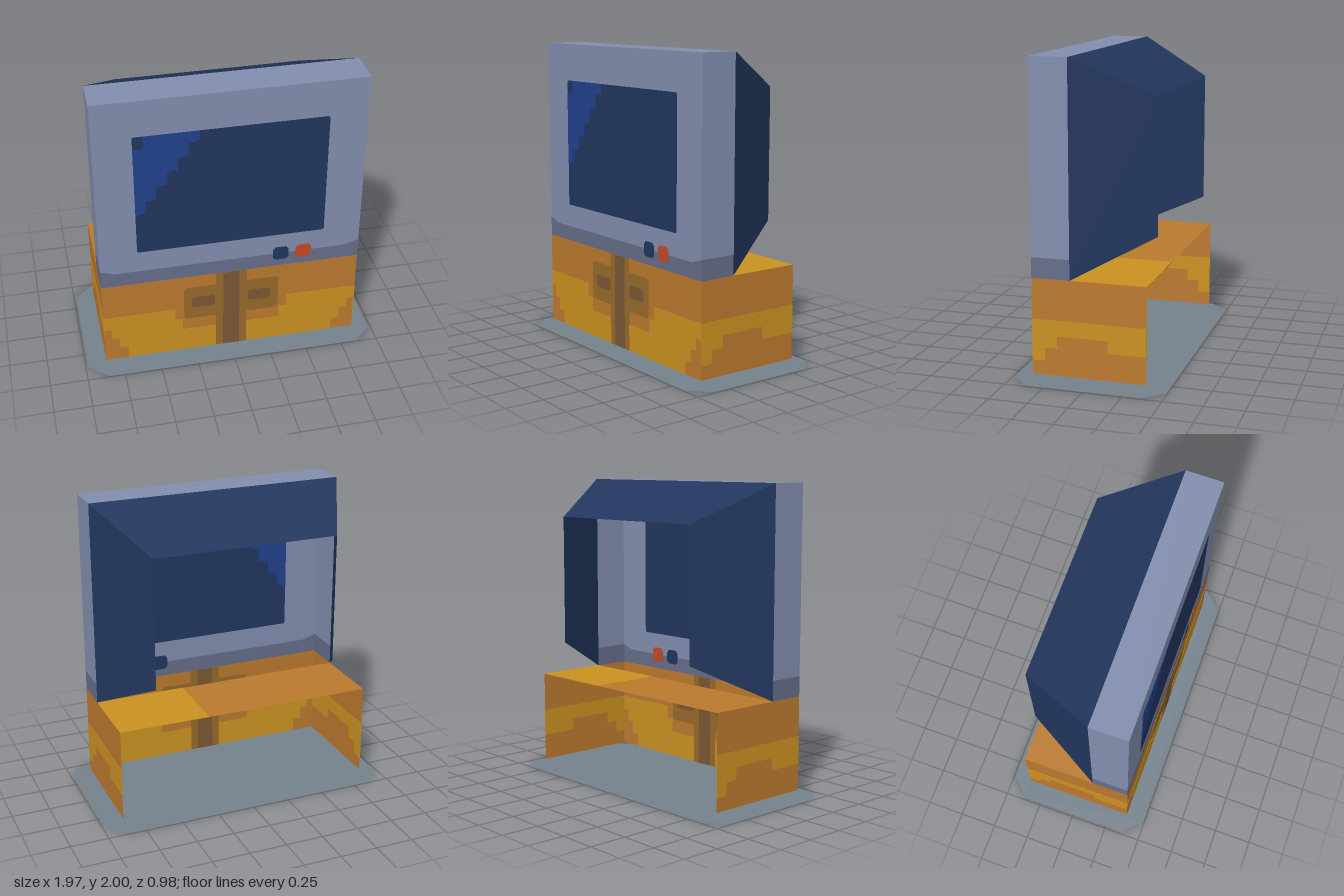
import * as THREE from 'three';

const paint = (name, color) => new THREE.MeshStandardMaterial({ name, color, side: THREE.DoubleSide });
const M = {
  plate: paint('slate', 0x74828d),
  frame: paint('greyBlue', 0x828eae),
  trim: paint('darkGreyBlue', 0x666e89),
  screen: paint('navy', 0x22365e),
  glare: paint('blue', 0x22408c),
  red: paint('red', 0xc44a25),
  brown: paint('brown', 0xbb792e),
  yellow: paint('ochre', 0xca9221),
  wood: paint('darkWood', 0x976a2c),
  post: paint('deepWood', 0x7b5835),
};

const W = 0.86, D = 0.367, MID = 0.12, FLOOR = 0.035, SEAM = 0.65, TOP = 2;
const SIDE = Math.PI / 2;
const rect = (x0, y0, x1, y1) => [[x0, y0], [x1, y0], [x1, y1], [x0, y1]];
const mirror = (pts) => pts.map(([x, y]) => [-x, y]).reverse();
const octagon = (x, y, rx, ry, c) => [
  [x - rx + c, y - ry], [x + rx - c, y - ry], [x + rx, y - ry + c], [x + rx, y + ry - c],
  [x + rx - c, y + ry], [x - rx + c, y + ry], [x - rx, y + ry - c], [x - rx, y - ry + c],
];

// Flat outline in its own plane; a thickness makes a painted plate showing on both faces
function sheet(name, mat, pts, thick = 0) {
  const shape = new THREE.Shape(pts.map((p) => new THREE.Vector2(...p)));
  const geo = thick
    ? new THREE.ExtrudeGeometry(shape, { depth: thick, bevelEnabled: false }).translate(0, 0, -thick / 2)
    : new THREE.ShapeGeometry(shape);
  const mesh = new THREE.Mesh(geo, mat);
  mesh.name = name;
  return mesh;
}

function quad(name, mat, a, b, c, d) {
  const geo = new THREE.BufferGeometry();
  geo.setAttribute('position', new THREE.Float32BufferAttribute([...a, ...b, ...c, ...a, ...c, ...d], 3));
  geo.computeVertexNormals();
  const mesh = new THREE.Mesh(geo, mat);
  mesh.name = name;
  return mesh;
}

// Group of sheets moved and turned into place
function wall(name, pos, rot, ...parts) {
  const g = new THREE.Group();
  g.name = name;
  g.position.set(...pos);
  g.rotation.set(...rot);
  return g.add(...parts);
}

function createCabinet() {
  const g = new THREE.Group();
  g.name = 'cabinet';

  // Front with stepped ochre panels, centre post and handles
  const panel = [
    [0.1, FLOOR], [0.705, FLOOR], [0.705, 0.125], [0.76, 0.125], [0.76, 0.21], [0.81, 0.21], [0.81, 0.29],
    [W, 0.29], [W, 0.39], [0.38, 0.39], [0.38, 0.3], [0.33, 0.3], [0.33, 0.21], [0.1, 0.21],
  ];
  const handle = octagon(0.19, 0.433, 0.078, 0.042, 0.015);
  g.add(wall('cabinetFront', [0, 0, D], [0, 0, 0],
    sheet('frontBoard', M.brown, rect(-W, FLOOR, W, SEAM)),
    sheet('leftPanel', M.yellow, panel, 0.004),
    sheet('rightPanel', M.yellow, mirror(panel), 0.004),
    sheet('handlePlate', M.wood, octagon(0, 0.43, 0.32, 0.13, 0.015), 0.006),
    sheet('postBorder', M.wood, rect(-0.105, FLOOR, 0.105, SEAM), 0.005),
    sheet('centrePost', M.post, rect(-0.055, FLOOR, 0.055, SEAM), 0.008),
    sheet('leftHandle', M.post, handle, 0.008),
    sheet('rightHandle', M.post, mirror(handle), 0.008)));

  // Sides carry the same stepped band
  const band = [
    [-D, 0.39], [-D, 0.125], [-0.285, 0.125], [-0.285, 0.21], [-0.2, 0.21], [-0.2, 0.29],
    [0.12, 0.29], [0.12, 0.21], [D, 0.21], [D, 0.39],
  ];
  for (const s of [1, -1]) {
    g.add(wall(s > 0 ? 'cabinetLeftSide' : 'cabinetRightSide', [s * W, 0, 0], [0, s * SIDE, 0],
      sheet('sideBoard', M.brown, rect(-D, FLOOR, D, SEAM)),
      sheet('sideBand', M.yellow, band, 0.004)));
  }

  // Top covers only the part behind the television frame
  g.add(wall('cabinetTop', [0, SEAM, 0], [-SIDE, 0, 0],
    sheet('topBoard', M.brown, rect(-W, -MID, W, D)),
    sheet('topPatch', M.yellow, rect(0.26, -MID, W, D), 0.004)));
  return g;
}

function createTelevision() {
  const g = new THREE.Group();
  g.name = 'television';

  // Stepped reflection in the screen corner
  const glare = [[-0.55, 1.755], [-0.2, 1.755]];
  for (let i = 0; i < 6; i++) {
    const x = -0.2 - i * 0.07, y = 1.69 - i * 0.098;
    glare.push([x, y], [Math.max(x - 0.07, -0.615), y - 0.015]);
  }
  glare.push([-0.615, 1.185], [-0.615, 1.67], [-0.565, 1.67], [-0.55, 1.685]);

  // Front of frame
  const trimTop = [[W, 0.78], [0.77, 0.75], [-0.77, 0.75], [-W, 0.78]];
  g.add(wall('televisionFront', [0, 0, D], [0, 0, 0],
    sheet('face', M.frame, [[-W, TOP], ...[...trimTop].reverse(), [W, TOP]]),
    sheet('faceTrim', M.trim, [[-W, SEAM], [W, SEAM], ...trimTop]),
    sheet('screen', M.screen, octagon(0, 1.328, 0.615, 0.427, 0.008), 0.004),
    sheet('screenGlare', M.glare, glare, 0.008),
    sheet('darkKnob', M.screen, octagon(0.33, 0.75, 0.052, 0.049, 0.018), 0.008),
    sheet('redKnob', M.red, octagon(0.482, 0.75, 0.052, 0.049, 0.018), 0.008)));

  // Frame sides and top
  for (const s of [1, -1]) {
    const near = s > 0 ? -D : MID, far = s > 0 ? -MID : D;
    g.add(wall(s > 0 ? 'frameLeftSide' : 'frameRightSide', [s * W, 0, 0], [0, s * SIDE, 0],
      sheet('sideFace', M.frame, rect(near, 0.78, far, TOP)),
      sheet('sideTrim', M.trim, rect(near, SEAM, far, 0.78))));
  }
  g.add(wall('frameTop', [0, TOP, 0], [-SIDE, 0, 0], sheet('topFace', M.frame, rect(-W, -D, W, -MID))));

  // Tapered rear casing, open at back and bottom
  const bx = 0.617, by0 = 0.9, by1 = 1.757;
  g.add(
    quad('casingTop', M.screen, [-W, TOP, MID], [W, TOP, MID], [bx, by1, -D], [-bx, by1, -D]),
    quad('casingLeft', M.screen, [W, SEAM, MID], [bx, by0, -D], [bx, by1, -D], [W, TOP, MID]),
    quad('casingRight', M.screen, [-W, SEAM, MID], [-W, TOP, MID], [-bx, by1, -D], [-bx, by0, -D]));
  return g;
}

export function createModel() {
  const model = new THREE.Group();
  model.name = 'televisionOnCabinet';
  model.add(
    wall('basePlate', [0, 0, 0], [-SIDE, 0, 0], sheet('plate', M.plate, octagon(0, 0, 0.985, 0.492, 0.123))),
    createCabinet(),
    createTelevision());
  return model;
}
